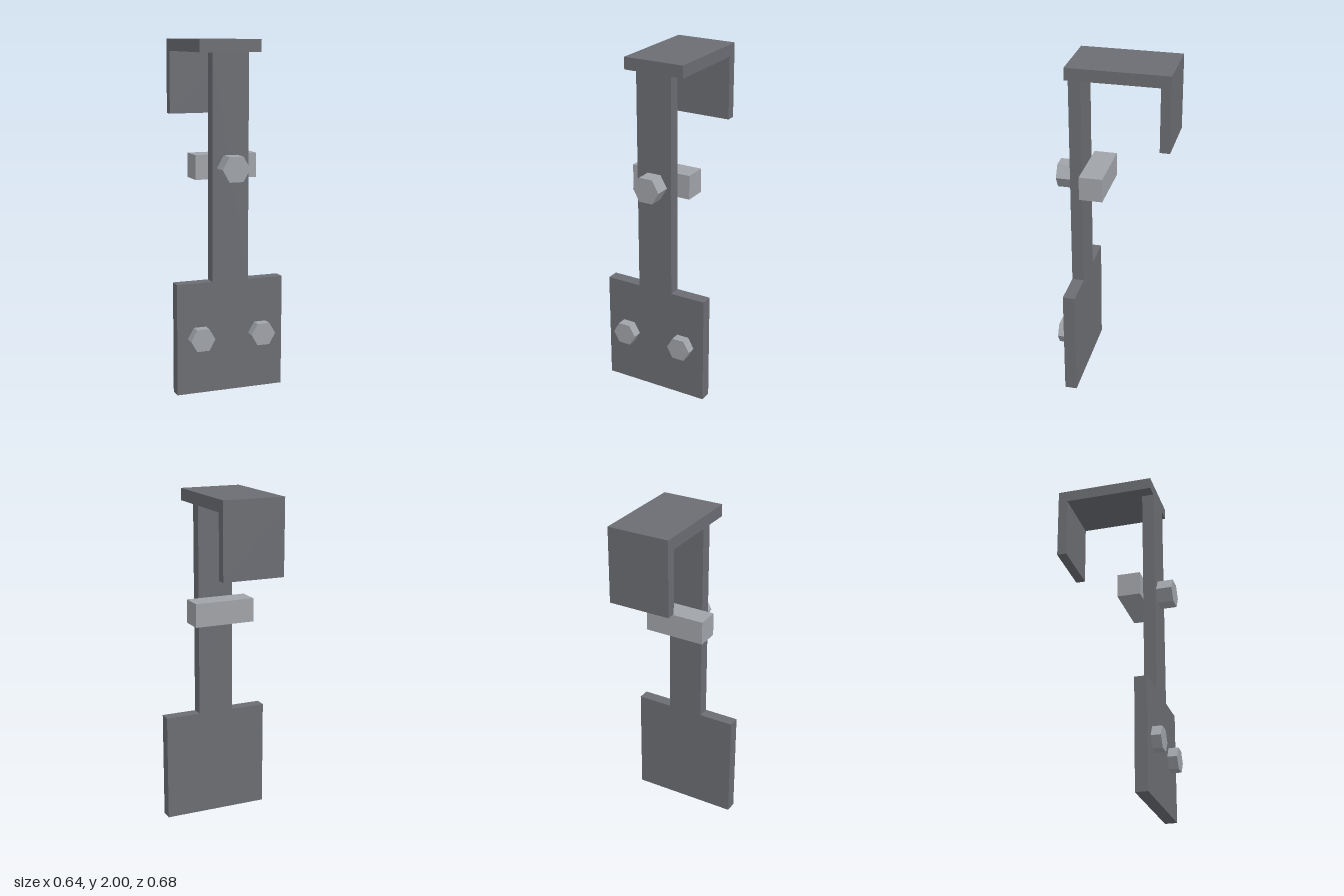
import * as THREE from 'three';

export function createModel() {
  const group = new THREE.Group();
  const darkSteel = new THREE.MeshStandardMaterial({ color: 0x6b6d72 });
  darkSteel.name = 'darkSteel';
  const lightSteel = new THREE.MeshStandardMaterial({ color: 0xa0a3a8 });
  lightSteel.name = 'lightSteel';

  function add(name, geometry, material) {
    const mesh = new THREE.Mesh(geometry, material);
    mesh.name = name;
    group.add(mesh);
    return mesh;
  }

  // Box given by its limits on each axis
  function box(name, material, [x0, x1], [y0, y1], [z0, z1]) {
    add(name, new THREE.BoxGeometry(x1 - x0, y1 - y0, z1 - z0), material)
      .position.set((x0 + x1) / 2, (y0 + y1) / 2, (z0 + z1) / 2);
  }

  // Hexagonal bolt head on the front face, flats up and down
  function bolt(name, x, y, radius, depth) {
    const geometry = new THREE.CylinderGeometry(radius, radius, depth, 6)
      .rotateY(Math.PI / 6).rotateX(Math.PI / 2).toNonIndexed();
    geometry.computeVertexNormals();
    add(name, geometry, lightSteel).position.set(x, y, front + depth / 2);
  }

  const front = 0.246, rear = 0.175, back = -0.338;

  // Flat T-shaped plate: wide foot with a narrow stem
  const outline = new THREE.Shape([
    [-0.32, 0], [0.32, 0], [0.32, 0.645], [0.108, 0.645],
    [0.108, 1.93], [-0.108, 1.93], [-0.108, 0.645], [-0.32, 0.645],
  ].map(([x, y]) => new THREE.Vector2(x, y)));
  add('stemAndFootPlate', new THREE.ExtrudeGeometry(outline, {
    depth: front - rear, bevelEnabled: false,
  }), darkSteel).position.z = rear;

  // Hook over the top with a lip hanging down behind
  box('hookTop', darkSteel, [-0.183, 0.183], [1.93, 2], [back, front]);
  box('hookLip', darkSteel, [-0.183, 0.183], [1.56, 1.93], [back, -0.281]);

  // Cross block behind the stem
  box('crossBlock', lightSteel, [-0.183, 0.183], [1.222, 1.362], [0.04, rear]);

  // Bolt heads
  bolt('stemBolt', 0, 1.292, 0.082, 0.092);
  for (const side of [-1, 1]) {
    bolt(side > 0 ? 'leftFootBolt' : 'rightFootBolt', side * 0.184, 0.325, 0.073, 0.056);
  }
  return group;
}
